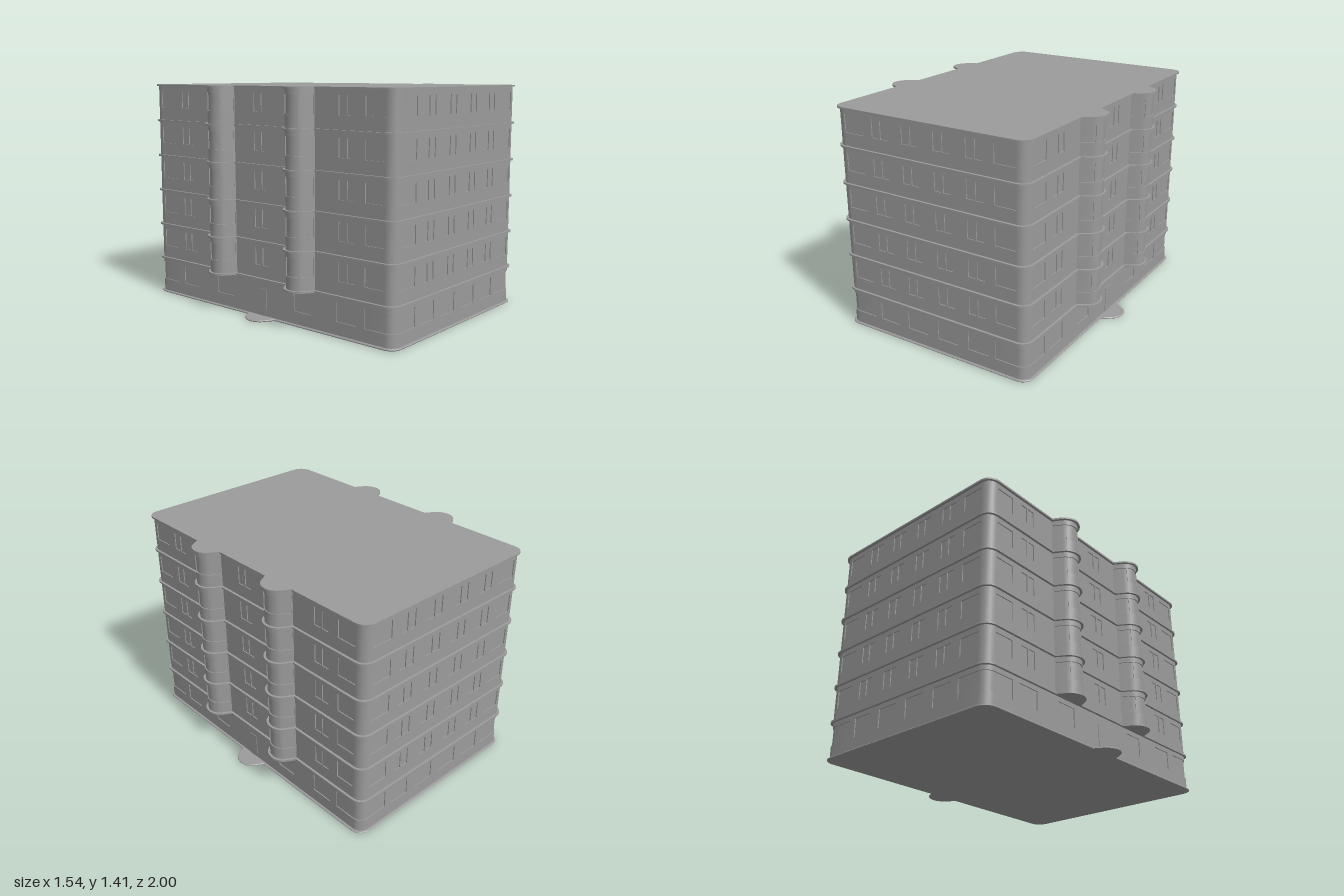
import * as THREE from 'three';
import { toCreasedNormals } from 'three/addons/utils/BufferGeometryUtils.js';

const RAD = Math.PI / 180;
const BAY_X = 0.671;   // centre of the bays' round noses
const RECESS = 0.006;  // window depth

// Closed outline as segments [start, end, hasWindow]; one quadrant is drawn and mirrored.
// X, Z: half sizes, R: corner radius, r: bay nose radius, bays: z of the bay centres.
function outline({ X, Z, R, r, bays = [], frontWins = [], sideWins = [], cornerWin = false, bayWins = false }) {
  const pts = [];
  const line = (a, b, wins, at) => {
    const lo = Math.min(a, b), hi = Math.max(a, b);
    const stops = [...new Set([a, b, ...wins.flat().filter(v => v > lo && v < hi)])]
      .sort((u, v) => (u - v) * Math.sign(b - a));
    for (let i = 0; i < stops.length - 1; i++) {
      const mid = (stops[i] + stops[i + 1]) / 2;
      pts.push([...at(stops[i]), wins.some(w => mid > w[0] && mid < w[1])]);
    }
  };
  line(0, X - R, frontWins, x => [x, Z]);
  for (let t = 90; t > 0; t -= 15) {
    pts.push([X - R + R * Math.cos(t * RAD), Z - R + R * Math.sin(t * RAD), cornerWin]);
  }
  let z = Z - R;
  // Bay: slanted flank, round nose, slanted flank
  for (const c of bays) {
    const noseX = BAY_X + r * Math.cos(60 * RAD), noseZ = r * Math.sin(60 * RAD);
    const half = noseZ + (noseX - X) * Math.tan(30 * RAD);
    const nearX = X + 0.1 * (noseX - X), nearZ = half + 0.1 * (noseZ - half);
    line(z, c + half, sideWins, v => [X, v]);
    pts.push([X, c + half, false], [nearX, c + nearZ, bayWins]);
    const angles = [60, 52, 43, 37.5, 25, 12.5];
    if (c !== 0) angles.push(0, -12.5, -25, -37.5, -43, -52, -60);
    angles.forEach((a, i) => {
      const mid = Math.abs((a + (angles[i + 1] ?? -61)) / 2);
      pts.push([BAY_X + r * Math.cos(a * RAD), c + r * Math.sin(a * RAD), bayWins && (a === -60 || mid < 37.5 || mid > 43)]);
    });
    if (c !== 0) pts.push([nearX, c - nearZ, false]);
    z = c - half;
  }
  if (z > 0) line(z, 0, sideWins, v => [X, v]);
  pts.push([bays.includes(0) ? BAY_X + r : X, 0, false]);

  const quad = pts.slice(0, -1).map((p, i) => [[p[0], p[1]], [pts[i + 1][0], pts[i + 1][1]], p[2]]);
  const flip = (sx, sz) => quad.map(([p, q, w]) => [[p[0] * sx, p[1] * sz], [q[0] * sx, q[1] * sz], w]);
  const back = segs => segs.reverse().map(([p, q, w]) => [q, p, w]);
  return [...quad, ...back(flip(1, -1)), ...flip(-1, -1), ...back(flip(-1, 1))];
}

// Wall along an outline, with windows set back between heights w0 and w1
function wallGeometry(segs, y0, y1, w0, w1) {
  const pos = [], n = segs.length;
  const quad = (a, b, c, d) => pos.push(...a, ...b, ...c, ...a, ...c, ...d);
  const normals = segs.map(([p, q]) => {
    const dx = q[0] - p[0], dz = q[1] - p[1], l = Math.hypot(dx, dz);
    return [-dz / l, dx / l];
  });
  const inset = (p, a, b) => {
    const x = a[0] + b[0], z = a[1] + b[1], l = Math.hypot(x, z);
    return [p[0] - RECESS * x / l, p[1] - RECESS * z / l];
  };
  const v = (p, y) => [p[0], y, p[1]];
  const face = (p, q, a, b) => quad(v(p, a), v(q, a), v(q, b), v(p, b));
  segs.forEach(([p, q, win], i) => {
    if (!win) return face(p, q, y0, y1);
    const prev = (i + n - 1) % n, next = (i + 1) % n;
    const pi = inset(p, normals[prev], normals[i]), qi = inset(q, normals[i], normals[next]);
    face(p, q, y0, w0);
    face(p, q, w1, y1);
    face(pi, qi, w0, w1);                                     // pane
    quad(v(p, w0), v(q, w0), v(qi, w0), v(pi, w0));           // sill
    quad(v(pi, w1), v(qi, w1), v(q, w1), v(p, w1));           // head
    if (!segs[prev][2]) face(p, pi, w0, w1);                  // jambs
    if (!segs[next][2]) face(qi, q, w0, w1);
  });
  const g = new THREE.BufferGeometry();
  g.setAttribute('position', new THREE.Float32BufferAttribute(pos, 3));
  return toCreasedNormals(g, 0.5);
}

// Flat slab filling an outline, with an optional chamfered rim
function slabGeometry(segs, y, height, bevel = 0) {
  const shape = new THREE.Shape(segs.map(([p]) => new THREE.Vector2(p[0], -p[1])));
  const g = new THREE.ExtrudeGeometry(shape, {
    depth: height - 2 * bevel, bevelEnabled: bevel > 0, bevelSegments: 1,
    bevelSize: bevel, bevelThickness: bevel, bevelOffset: -bevel,
  });
  g.rotateX(-Math.PI / 2).translate(0, y + bevel, 0);
  return toCreasedNormals(g, 0.5);
}

export function createModel() {
  const model = new THREE.Group();
  const material = new THREE.MeshStandardMaterial({ color: 0x9b9b9b });
  const add = (name, geometry) => {
    const mesh = new THREE.Mesh(geometry, material);
    mesh.name = name;
    model.add(mesh);
  };
  const wall = { X: 0.655, Z: 0.985, R: 0.06, r: 0.082 };
  const slab = { X: 0.67, Z: 1, R: 0.075, r: 0.097 };
  const T = 0.011, FIRST = 0.235, PITCH = 0.2333;

  // Base slab with a rounded step at each side entrance
  add('baseSlab', slabGeometry(outline({ ...slab, bays: [0] }), 0, T, 0.004));

  // Ground floor: corner windows wrap round the corners
  const ground = outline({
    ...wall, cornerWin: true,
    frontWins: [[0.04, 0.185], [0.26, 0.4], [0.45, 1]],
    sideWins: [[0.26, 0.4], [0.585, 0.73], [0.785, 1]],
  });
  add('groundFloorWall', wallGeometry(ground, T, FIRST, 0.089, 0.206));

  // Entrance doors
  for (const side of [-1, 1]) {
    const door = new THREE.BoxGeometry(0.006, 0.168, 0.066);
    add(side > 0 ? 'leftDoor' : 'rightDoor', door.translate(side * 0.655, T + 0.084, 0));
  }

  // Upper floors with two bays on each side
  const upper = outline({
    ...wall, bays: [0.325], bayWins: true,
    frontWins: [[0.055, 0.106], [0.116, 0.167], [0.272, 0.323], [0.333, 0.385], [0.455, 0.59]],
    sideWins: [[0.005, 0.056], [0.603, 0.653], [0.663, 0.714], [0.788, 0.918]],
  });
  const floorSlab = outline({ ...slab, bays: [0.325] });
  for (let i = 0; i < 5; i++) {
    const y = FIRST + i * PITCH;
    add(`floorSlab${i + 1}`, slabGeometry(floorSlab, y, T));
    add(`upperFloorWall${i + 1}`, wallGeometry(upper, y + T, y + PITCH, y + 0.09, y + 0.201));
  }
  add('roofSlab', slabGeometry(floorSlab, FIRST + 5 * PITCH, T));
  return model;
}
